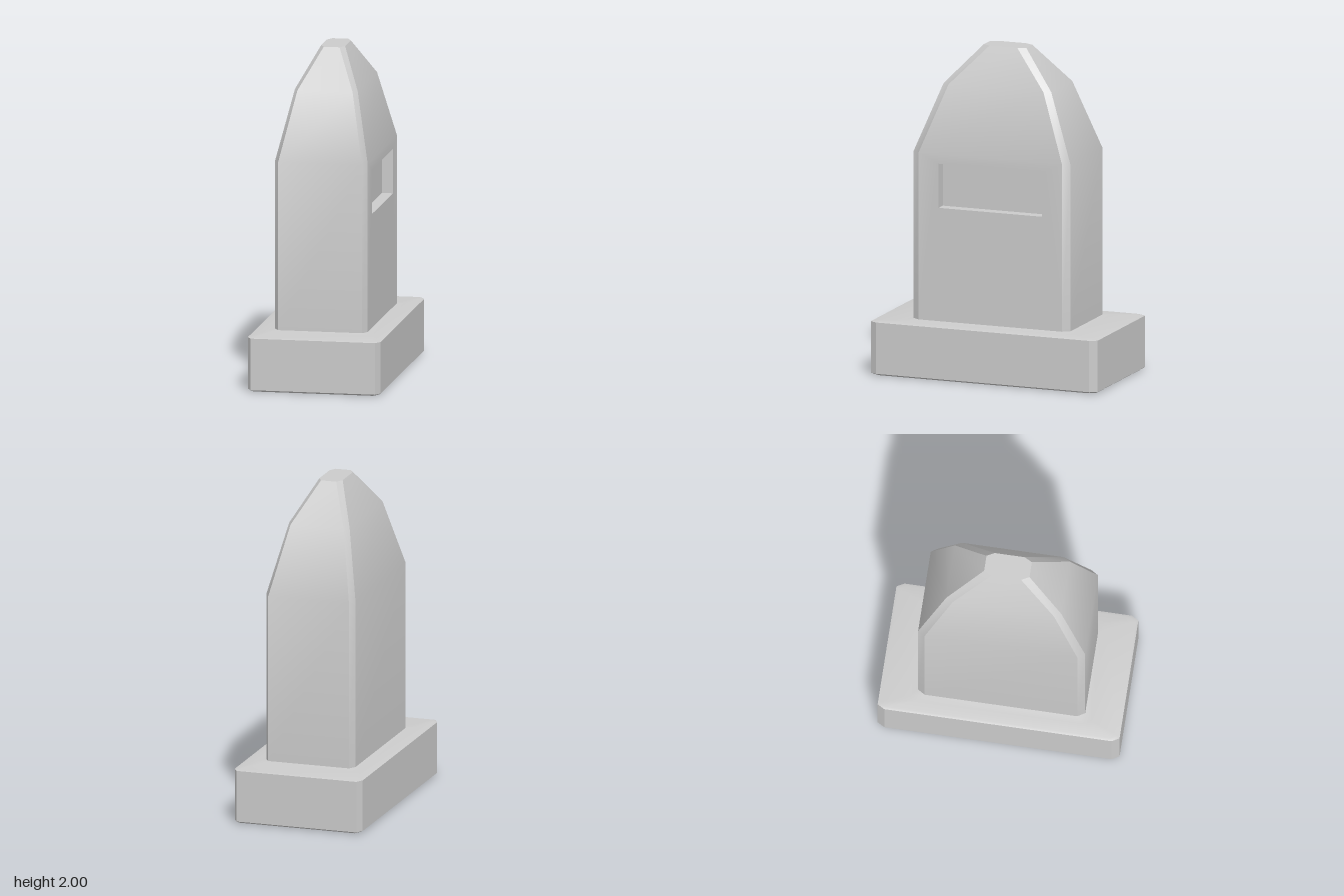
import * as THREE from 'three';
import { mergeGeometries, toCreasedNormals } from 'three/addons/utils/BufferGeometryUtils.js';

const TURN = 0.721; // the whole post stands turned about y
const CREASE = THREE.MathUtils.degToRad(27);

// Chamfered rectangle at height y: ends at +-U (half width v), long sides at +-V (half length u)
function ring(y, U, V, u, v, grow = 0) {
  [U, V, u, v] = [U, V, u, v].map((n) => n + grow);
  return [[U, v], [u, V], [-u, V], [-U, v], [-U, -v], [-u, -V], [u, -V], [U, -v]]
    .map(([x, z]) => [x, y, z]);
}

function quad(out, a, b, c, d) {
  out.push(...a, ...b, ...c, ...a, ...c, ...d);
}

// Skin a stack of rings; skip(band, side) leaves a face out
function loft(rings, capBottom, capTop, skip = () => false) {
  const out = [];
  for (let k = 0; k < rings.length - 1; k++) {
    for (let i = 0; i < 8; i++) {
      const j = (i + 1) % 8;
      if (!skip(k, i)) quad(out, rings[k][j], rings[k][i], rings[k + 1][i], rings[k + 1][j]);
    }
  }
  const low = rings[0], high = rings[rings.length - 1];
  for (let i = 1; i < 7; i++) {
    if (capBottom) out.push(...low[0], ...low[i], ...low[i + 1]);
    if (capTop) out.push(...high[0], ...high[i + 1], ...high[i]);
  }
  return out;
}

function toGeometry(points) {
  const g = new THREE.BufferGeometry();
  g.setAttribute('position', new THREE.Float32BufferAttribute(points, 3));
  return g;
}

export function createModel() {
  const group = new THREE.Group();
  const material = new THREE.MeshStandardMaterial({ color: 0xcccccc });
  const add = (name, geometry) => {
    const mesh = new THREE.Mesh(toCreasedNormals(geometry, CREASE), material);
    mesh.name = name;
    mesh.rotation.y = TURN;
    group.add(mesh);
  };

  // Base slab with eased edges and a faint rise up to the body
  const slab = [0.731, 0.404, 0.687, 0.379];
  const wall = [0.505, 0.282, 0.462, 0.255];
  add('base', toGeometry(loft([
    ring(0, ...slab, -0.015),
    ring(0.01, ...slab),
    ring(0.324, ...slab),
    ring(0.329, ...slab, -0.015),
    ring(0.331, ...wall, 0.04),
    ring(0.337, ...wall),
  ], true, false)));

  // Body with tapering roof; the front wall is left open for the panel below
  const bottom = 0.335, eaves = 1.36, V = wall[1], u = wall[2];
  const shell = loft([
    ring(bottom, ...wall),
    ring(eaves, ...wall),
    ring(1.77, 0.347, 0.191, 0.306, 0.168),
    ring(2, 0.137, 0.073, 0.09, 0.048),
  ], false, true, (band, side) => band === 0 && side === 1);

  // Front wall with a rectangular opening
  const w = 0.333, y0 = 1.03, y1 = 1.3, depth = 0.067;
  const opening = [[-w, y0], [w, y0], [w, y1], [-w, y1]];
  const toPath = (pts) => pts.map(([x, y]) => new THREE.Vector2(x, y));
  const front = new THREE.Shape(toPath([[-u, bottom], [u, bottom], [u, eaves], [-u, eaves]]));
  front.holes.push(new THREE.Path(toPath(opening)));
  const panel = new THREE.ShapeGeometry(front).toNonIndexed();
  panel.translate(0, 0, V);
  panel.deleteAttribute('uv');
  panel.deleteAttribute('normal');
  add('body', mergeGeometries([toGeometry(shell), panel]));

  // Sunken window: four inward walls and a back
  const outer = opening.map(([x, y]) => [x, y, V]);
  const inner = opening.map(([x, y]) => [x, y, V - depth]);
  const recess = [];
  for (let i = 0; i < 4; i++) {
    const j = (i + 1) % 4;
    quad(recess, outer[i], outer[j], inner[j], inner[i]);
  }
  quad(recess, ...inner);
  add('windowRecess', toGeometry(recess));

  return group;
}
